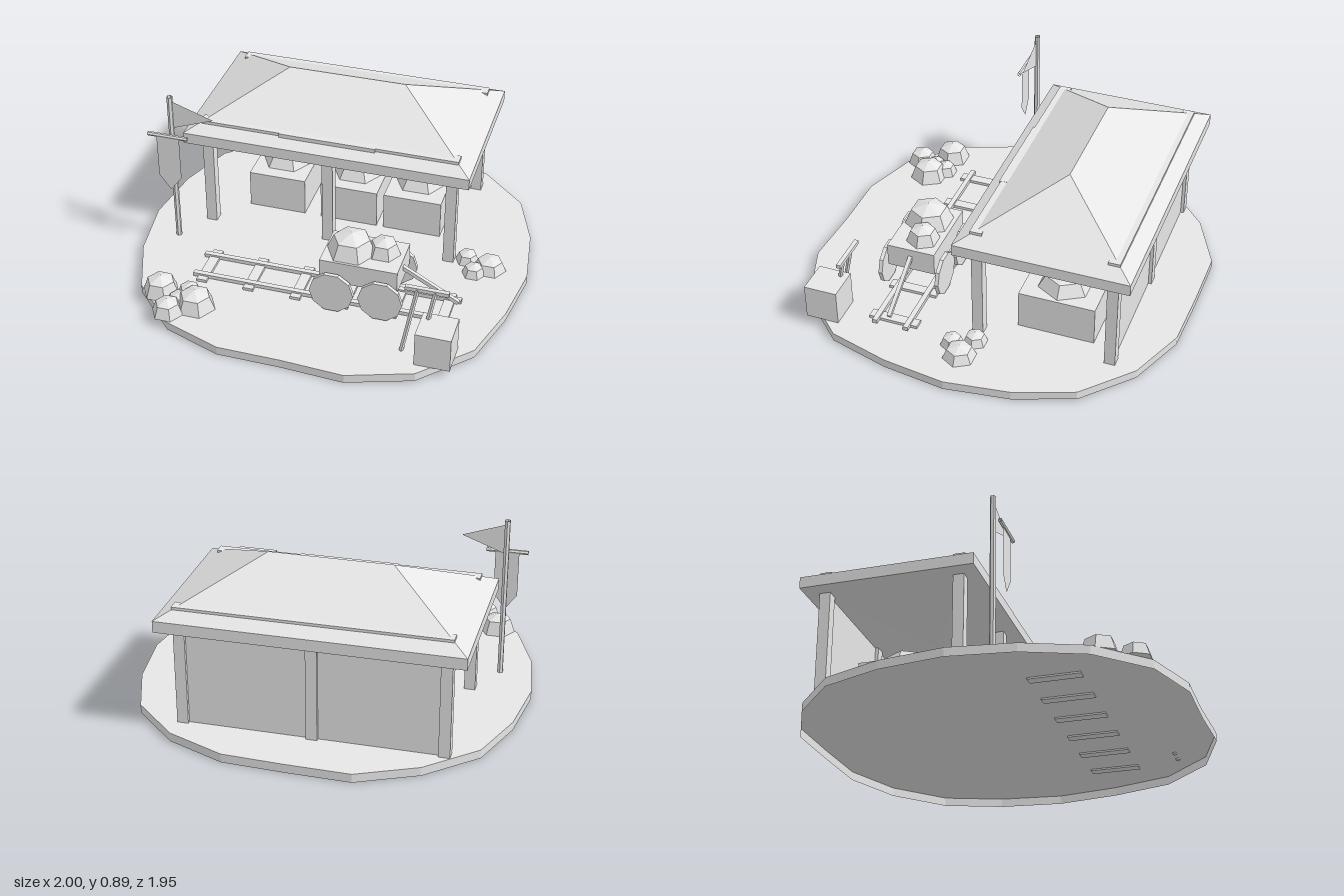
import * as THREE from 'three';

// Double-sided because the ground shell and pole tubes are open
const stone = new THREE.MeshStandardMaterial({ color: 0xe6e6e6, side: THREE.DoubleSide });
stone.name = 'plain light grey';

const flat = (g) => {
  const f = g.index ? g.toNonIndexed() : g;
  f.computeVertexNormals();
  return f;
};

export function createModel() {
  const root = new THREE.Group();
  const add = (name, geo, x = 0, y = 0, z = 0) => {
    const m = new THREE.Mesh(geo, stone);
    m.name = name;
    m.position.set(x, y, z);
    root.add(m);
    return m;
  };
  const fromFaces = (verts, faces) => {
    const g = new THREE.BufferGeometry();
    g.setAttribute('position', new THREE.Float32BufferAttribute(verts, 3));
    g.setIndex(faces);
    return flat(g);
  };
  // Box given by its extents
  const box = (name, x0, x1, y0, y1, z0, z1) =>
    add(name, new THREE.BoxGeometry(x1 - x0, y1 - y0, z1 - z0), (x0 + x1) / 2, (y0 + y1) / 2, (z0 + z1) / 2);
  // Square bar between two points
  const bar = (name, a, b, t) => {
    const p = new THREE.Vector3(...a), q = new THREE.Vector3(...b);
    const m = add(name, new THREE.BoxGeometry(t, t, p.distanceTo(q)));
    m.position.copy(p).add(q).multiplyScalar(0.5);
    m.lookAt(q);
  };
  // Six-sided boulder with a low faceted cap
  const rock = (name, x, y, z, r, h) => {
    const pts = [[0, 0], [r, 0], [r * 0.73, h * 0.72], [0, h]].map((p) => new THREE.Vector2(...p));
    add(name, flat(new THREE.LatheGeometry(pts, 6).rotateY(Math.PI / 2)), x, y, z);
  };
  // Flat cloth cut from an outline
  const cloth = (name, pts, z) =>
    add(name, new THREE.ShapeGeometry(new THREE.Shape(pts.map((p) => new THREE.Vector2(...p)))), 0, 0, z);

  // Irregular round ground: a top surface with a rim, open underneath
  const G = 0.045;
  const rim = [[-0.315, -0.977], [0, -0.973], [0.32, -0.96], [0.615, -0.84], [0.85, -0.62], [0.957, -0.326],
    [1, 0], [0.955, 0.32], [0.866, 0.63], [0.636, 0.87], [0.32, 0.977], [0, 0.96], [-0.315, 0.958],
    [-0.61, 0.855], [-0.84, 0.62], [-0.955, 0.32], [-1, 0], [-0.957, -0.326], [-0.85, -0.62], [-0.61, -0.84]];
  const top = new THREE.Shape(rim.map(([x, z]) => new THREE.Vector2(x, -z)));
  add('groundTop', new THREE.ShapeGeometry(top).rotateX(-Math.PI / 2), 0, G, 0);
  const wall = [], wallFaces = [];
  rim.forEach(([x, z], i) => {
    const a = 2 * i, b = 2 * ((i + 1) % rim.length);
    wall.push(x, 0, z, x, G, z);
    wallFaces.push(a, a + 1, b, b, a + 1, b + 1);
  });
  add('groundRim', fromFaces(wall, wallFaces));

  // Hipped roof with thick eaves and a shallow pointed underside
  const rect = [[-0.799, -0.805], [0.688, -0.805], [0.688, 0.066], [-0.799, 0.066]];
  const verts = [];
  for (const y of [0.557, 0.615]) rect.forEach(([x, z]) => verts.push(x, y, z));
  verts.push(-0.364, 0.832, -0.369, 0.25, 0.832, -0.369, -0.054, 0.53, -0.369);
  const faces = [7, 6, 9, 7, 9, 8, 5, 4, 8, 5, 8, 9, 6, 5, 9, 4, 7, 8];
  for (let i = 0; i < 4; i++) {
    const j = (i + 1) % 4;
    faces.push(i, i + 4, j, j, i + 4, j + 4, i, j, 10);
  }
  add('roof', fromFaces(verts, faces));

  // Beams that break through the roof slopes
  box('frontBeam', -0.725, 0.618, 0.645, 0.664, -0.06, 0);
  box('frontBeamMiddle', -0.305, 0.195, 0.64, 0.665, -0.05, 0.008);
  box('backBeam', -0.725, 0.618, 0.645, 0.664, -0.734, -0.675);

  // Posts and back wall
  for (const x of [-0.695, -0.056, 0.588]) {
    box('frontPost', x - 0.028, x + 0.028, G, 0.575, -0.059, -0.004);
    box('backPost', x - 0.028, x + 0.028, G, 0.575, -0.732, -0.677);
  }
  box('backWall', -0.695, 0.588, G, 0.57, -0.715, -0.694);

  // Ore crates under the roof
  for (const x of [-0.392, 0.002, 0.345]) {
    box('crate', x - 0.153, x + 0.153, G, 0.248, -0.59, -0.2);
    rock('crateOre', x, 0.248, -0.393, 0.14, 0.087);
  }

  // Track
  for (let i = 0; i < 6; i++) {
    const x = -0.56 + i * 0.246;
    box('sleeper', x - 0.026, x + 0.026, 0.037, 0.06, 0.258, 0.512);
  }
  for (const z of [0.305, 0.468]) box('rail', -0.615, 0.73, 0.05, 0.07, z - 0.013, z + 0.013);

  // Ore cart
  box('cartBody', 0.06, 0.45, 0.2, 0.32, 0.26, 0.51);
  const wheel = flat(new THREE.CylinderGeometry(0.112, 0.112, 0.02, 10).rotateY(Math.PI / 2).rotateX(Math.PI / 2));
  for (const x of [0.13, 0.375]) for (const z of [0.237, 0.54]) add('cartWheel', wheel, x, 0.16, z);
  rock('cartOre', 0.19, 0.32, 0.39, 0.125, 0.108);
  rock('cartOre', 0.345, 0.32, 0.36, 0.085, 0.085);
  bar('cartHandle', [0.44, 0.275, 0.388], [0.73, 0.115, 0.388], 0.02);

  // Loose boulders: x, z, radius, height
  const rocks = [[-0.725, 0.635, 0.094, 0.1], [-0.58, 0.62, 0.063, 0.07], [-0.52, 0.695, 0.102, 0.1],
    [-0.635, 0.78, 0.08, 0.085], [-0.61, 0.69, 0.06, 0.06], [0.805, -0.01, 0.085, 0.07],
    [0.735, 0.055, 0.06, 0.06], [0.682, -0.045, 0.062, 0.06]];
  for (const [x, z, r, h] of rocks) rock('boulder', x, G, z, r, h);

  // Bin with two leaning picks
  box('bin', 0.613, 0.787, G, 0.227, 0.64, 0.81);
  for (const x of [0.582, 0.668]) {
    bar('pickHandle', [x, 0.36, 0.645], [x - 0.052, 0.034, 0.73], 0.015);
    box('pickHead', x - 0.06, x + 0.066, 0.35, 0.37, 0.63, 0.652);
  }

  // Pole and crossbar as open tubes, with hanging banner and pennant
  add('flagPole', flat(new THREE.CylinderGeometry(0.015, 0.015, 0.842, 6, 1, true)), -0.815, G + 0.421, 0.165);
  add('bannerBar', flat(new THREE.CylinderGeometry(0.011, 0.011, 0.21, 6, 1, true).rotateZ(Math.PI / 2)), -0.812, 0.695, 0.23);
  cloth('banner', [[-0.872, 0.69], [-0.872, 0.455], [-0.812, 0.373], [-0.752, 0.455], [-0.752, 0.69]], 0.23);
  cloth('pennant', [[-0.81, 0.863], [-0.81, 0.705], [-0.59, 0.787]], 0.167);
  return root;
}
